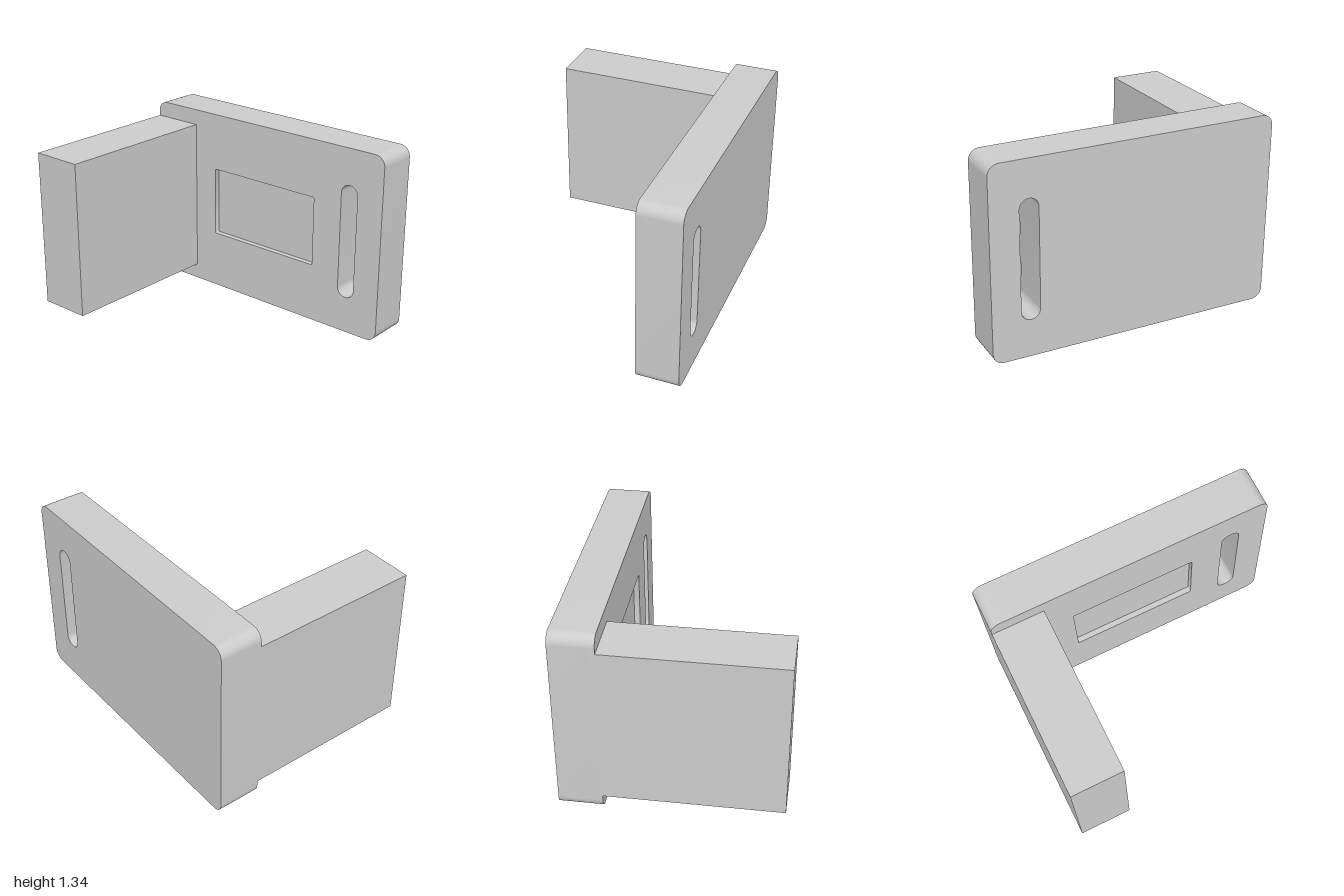
import * as THREE from 'three';
import { toCreasedNormals } from 'three/addons/utils/BufferGeometryUtils.js';

const HEIGHT = 1.335, BACK = -0.74, FRONT = -0.445, RECESS_DEPTH = 0.04;

// Trace a rounded rectangle on a Shape or Path
function roundedRect(path, x0, y0, x1, y1, r) {
  path.moveTo(x0 + r, y0);
  path.absarc(x1 - r, y0 + r, r, -Math.PI / 2, 0, false);
  path.absarc(x1 - r, y1 - r, r, 0, Math.PI / 2, false);
  path.absarc(x0 + r, y1 - r, r, Math.PI / 2, Math.PI, false);
  path.absarc(x0 + r, y0 + r, r, Math.PI, Math.PI * 1.5, false);
  path.closePath();
  return path;
}

// One layer of the plate between two depths, pierced by the slot
function plateLayer(z0, z1, extraHoles = []) {
  const shape = roundedRect(new THREE.Shape(), -1, 0, 1, HEIGHT, 0.075);
  const slot = roundedRect(new THREE.Path(), 0.672, 0.26, 0.802, 1.078, 0.065);
  shape.holes.push(slot, ...extraHoles);
  const geometry = new THREE.ExtrudeGeometry(shape, { depth: z1 - z0, bevelEnabled: false, curveSegments: 16 });
  geometry.translate(0, 0, z0);
  return toCreasedNormals(geometry, Math.PI / 6);
}

export function createModel() {
  const model = new THREE.Group();
  const material = new THREE.MeshStandardMaterial({ color: 0xcccccc });
  const add = (name, geometry) => {
    const mesh = new THREE.Mesh(geometry, material);
    mesh.name = name;
    model.add(mesh);
    return mesh;
  };

  // Upright plate: solid back layer, and a thin face layer that forms the shallow recess
  const recess = roundedRect(new THREE.Path(), -0.447, 0.42, 0.447, 0.922, 0.008);
  add('plateBack', plateLayer(BACK, FRONT - RECESS_DEPTH));
  add('plateFace', plateLayer(FRONT - RECESS_DEPTH, FRONT, [recess]));

  // Block standing out from one end of the plate
  const length = 0.74 - FRONT;
  add('sideBlock', new THREE.BoxGeometry(0.367, 1.11, length))
    .position.set(-1 + 0.367 / 2, HEIGHT / 2, FRONT + length / 2);

  return model;
}
